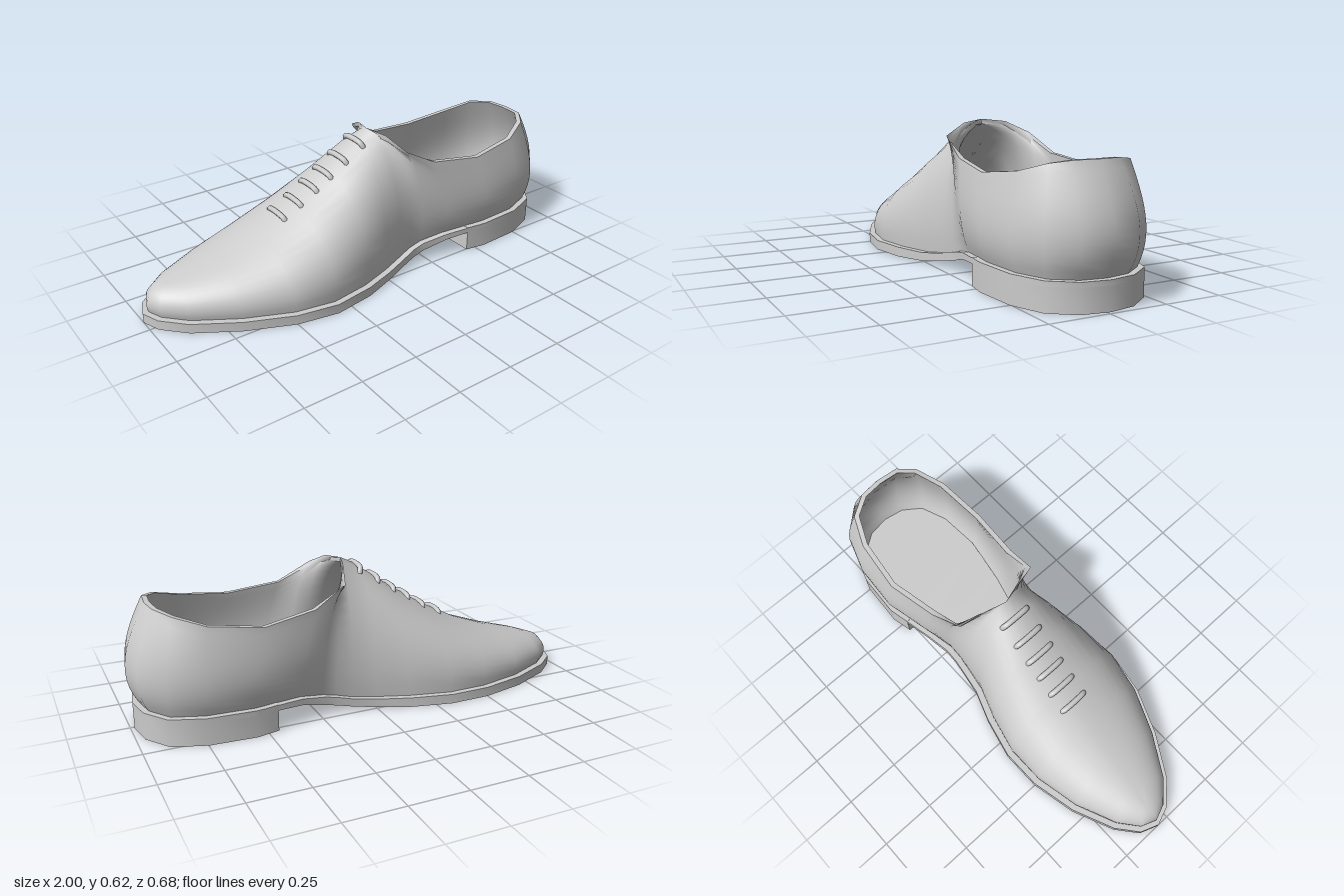
import * as THREE from 'three';
import { mergeVertices, toCreasedNormals } from 'three/addons/utils/BufferGeometryUtils.js';

// Stations toe to heel: sole edge x, z right, z left | upper's top edge x, y, z right, z left
const STATIONS = [
  [-1, -0.06, -0.06, -0.88, 0.157, -0.055, -0.055],
  [-0.97, -0.14, 0.02, -0.87, 0.16, -0.055, -0.055],
  [-0.88, -0.215, 0.115, -0.81, 0.18, -0.05, -0.05],
  [-0.7, -0.295, 0.225, -0.67, 0.218, -0.045, -0.045],
  [-0.5, -0.34, 0.31, -0.5, 0.278, -0.035, -0.035],
  [-0.32, -0.342, 0.34, -0.32, 0.368, -0.02, -0.02],
  [-0.14, -0.3, 0.31, -0.14, 0.485, -0.01, -0.01],
  [0, -0.25, 0.262, 0, 0.585, 0, 0],
  [0.1, -0.235, 0.23, 0.06, 0.615, 0, 0],
  [0.17, -0.227, 0.213, 0.09, 0.604, -0.1, 0.1],
  [0.23, -0.227, 0.21, 0.125, 0.555, -0.2, 0.2],
  [0.34, -0.25, 0.235, 0.27, 0.478, -0.235, 0.215],
  [0.55, -0.297, 0.268, 0.5, 0.45, -0.275, 0.237],
  [0.75, -0.285, 0.255, 0.72, 0.478, -0.25, 0.215],
  [0.89, -0.235, 0.2, 0.84, 0.515, -0.195, 0.16],
  [0.965, -0.13, 0.1, 0.895, 0.528, -0.105, 0.09],
  [0.985, -0.015, -0.015, 0.905, 0.528, -0.01, -0.01],
];
const LAST = STATIONS.length - 1;
const COUNT = LAST * 2;
const { smoothstep } = THREE.MathUtils;

// Piecewise linear lookup
function lookup(points, x) {
  if (x <= points[0][0]) return points[0][1];
  for (let i = 1; i < points.length; i++) {
    const [x0, y0] = points[i - 1], [x1, y1] = points[i];
    if (x <= x1) return y0 + ((y1 - y0) * (x - x0)) / (x1 - x0);
  }
  return points[points.length - 1][1];
}
const soleTop = x => lookup([[0, 0.042], [0.1, 0.055], [0.2, 0.08], [0.34, 0.107], [0.46, 0.116]], x);
const soleBottom = x => lookup([[-0.05, 0], [0.05, 0.01], [0.2, 0.042], [0.34, 0.08], [0.46, 0.096]], x);

// Walks the closed loop: toe, right side, heel, left side
function loop(fn) {
  return Array.from({ length: COUNT }, (_, i) => {
    const left = i > LAST;
    return fn(STATIONS[left ? COUNT - i : i], left, i);
  });
}
const edge = loop((s, left) => new THREE.Vector3(s[0], 0, s[left ? 2 : 1]));
const top = loop((s, left) => new THREE.Vector3(s[3], s[4], s[left ? 6 : 5]));
const outward = loop((s, left, i) => {
  const t = edge[(i + 1) % COUNT].clone().sub(edge[(i + COUNT - 1) % COUNT]).normalize();
  return new THREE.Vector3(t.z, 0, -t.x);
});

// Skins a stack of closed rings; caps run across from the right side to the left
function skin(rings, { capStart = false, capEnd = false } = {}) {
  const pos = [];
  const quad = (a, b, c, d) => [a, b, c, a, c, d].forEach(p => pos.push(p.x, p.y, p.z));
  for (let j = 0; j < rings.length - 1; j++) {
    for (let i = 0; i < COUNT; i++) {
      const k = (i + 1) % COUNT;
      quad(rings[j][i], rings[j + 1][i], rings[j + 1][k], rings[j][k]);
    }
  }
  const cap = (r, up) => {
    for (let i = 0; i < LAST; i++) {
      const a = r[i], b = r[i + 1], c = r[COUNT - i - 1], d = r[(COUNT - i) % COUNT];
      up ? quad(a, d, c, b) : quad(a, b, c, d);
    }
  };
  if (capStart) cap(rings[0], false);
  if (capEnd) cap(rings[rings.length - 1], true);
  const g = new THREE.BufferGeometry();
  g.setAttribute('position', new THREE.Float32BufferAttribute(pos, 3));
  return g;
}

// Rings of the upper: each column is a curve from the welt to the ridge or collar
function upperRings(thickness, rows) {
  const columns = edge.map((e, i) => {
    const n = outward[i], t = top[i].clone();
    const collar = smoothstep(t.x, 0.03, 0.26);
    const instep = smoothstep(t.x, -0.3, 0.06) * (1 - collar);
    const back = smoothstep(e.x, 0.85, 0.985);
    const bottom = e.clone().addScaledVector(n, -0.028 - thickness);
    bottom.y = soleTop(e.x) - 0.004;
    t.addScaledVector(n, -thickness * collar);
    t.y -= thickness * (1 - collar);
    const h = t.y - bottom.y;
    const low = bottom.clone().addScaledVector(n, 0.03 + 0.025 * collar + 0.035 * back);
    low.y += h * (0.55 - 0.22 * collar - 0.1 * instep);
    const high = t.clone().lerp(bottom, 0.68 + 0.08 * instep)
      .addScaledVector(n, 0.022 * collar + 0.025 * back);
    high.y = t.y - h * (0.05 - 0.02 * instep + 0.3 * collar);
    return new THREE.CubicBezierCurve3(bottom, low, high, t);
  });
  return Array.from({ length: rows + 1 }, (_, j) => columns.map(c => c.getPoint(j / rows)));
}

export function createModel() {
  const model = new THREE.Group();
  const material = new THREE.MeshStandardMaterial({ color: 0xcccccc, side: THREE.DoubleSide });
  const add = (name, geometry) => {
    const mesh = new THREE.Mesh(geometry, material);
    mesh.name = name;
    model.add(mesh);
  };
  const smooth = g => {
    const merged = mergeVertices(g, 1e-4);
    merged.computeVertexNormals();
    return merged;
  };

  // Upper, lining and the collar edge that joins them
  const outer = upperRings(0, 12);
  const inner = upperRings(0.022, 12);
  add('upper', smooth(skin(outer)));
  add('lining', smooth(skin([...inner].reverse())));
  add('collarEdge', smooth(skin([outer[12], inner[12]])));

  // Insole
  const floor = inner[0].map(p => new THREE.Vector3(p.x, p.y + 0.012, p.z));
  add('insole', smooth(skin([floor], { capEnd: true })));

  // Sole, bending up through the arch
  const level = fn => edge.map(p => new THREE.Vector3(p.x, fn(p.x), p.z));
  add('sole', toCreasedNormals(
    skin([level(soleBottom), level(soleTop)], { capStart: true, capEnd: true }), 0.9));

  // Heel block with a straight front face
  const heelFront = 0.455;
  const heelShape = new THREE.Shape([
    new THREE.Vector2(heelFront, 0.276),
    ...edge.filter(p => p.x > heelFront).map(p => new THREE.Vector2(p.x, -p.z)),
    new THREE.Vector2(heelFront, -0.253),
  ]);
  const heel = new THREE.ExtrudeGeometry(heelShape, { depth: 0.114, bevelEnabled: false });
  heel.rotateX(-Math.PI / 2);
  add('heel', toCreasedNormals(heel, 0.9));

  // Laces arching across the ridge
  const ridge = STATIONS.slice(0, 9).map(s => [s[3], s[4]]);
  [-0.39, -0.31, -0.235, -0.165, -0.09, -0.008].forEach((x, i) => {
    const y = lookup(ridge, x), z = -0.02 + i * 0.003;
    const arch = [[-0.068, -0.028], [-0.057, -0.005], [0, 0.004], [0.057, -0.005], [0.068, -0.028]];
    const path = new THREE.CatmullRomCurve3(
      arch.map(([dz, dy]) => new THREE.Vector3(x - dy * 0.4, y + dy, z + dz)));
    add('lace', new THREE.TubeGeometry(path, 16, 0.012, 8));
  });

  return model;
}
